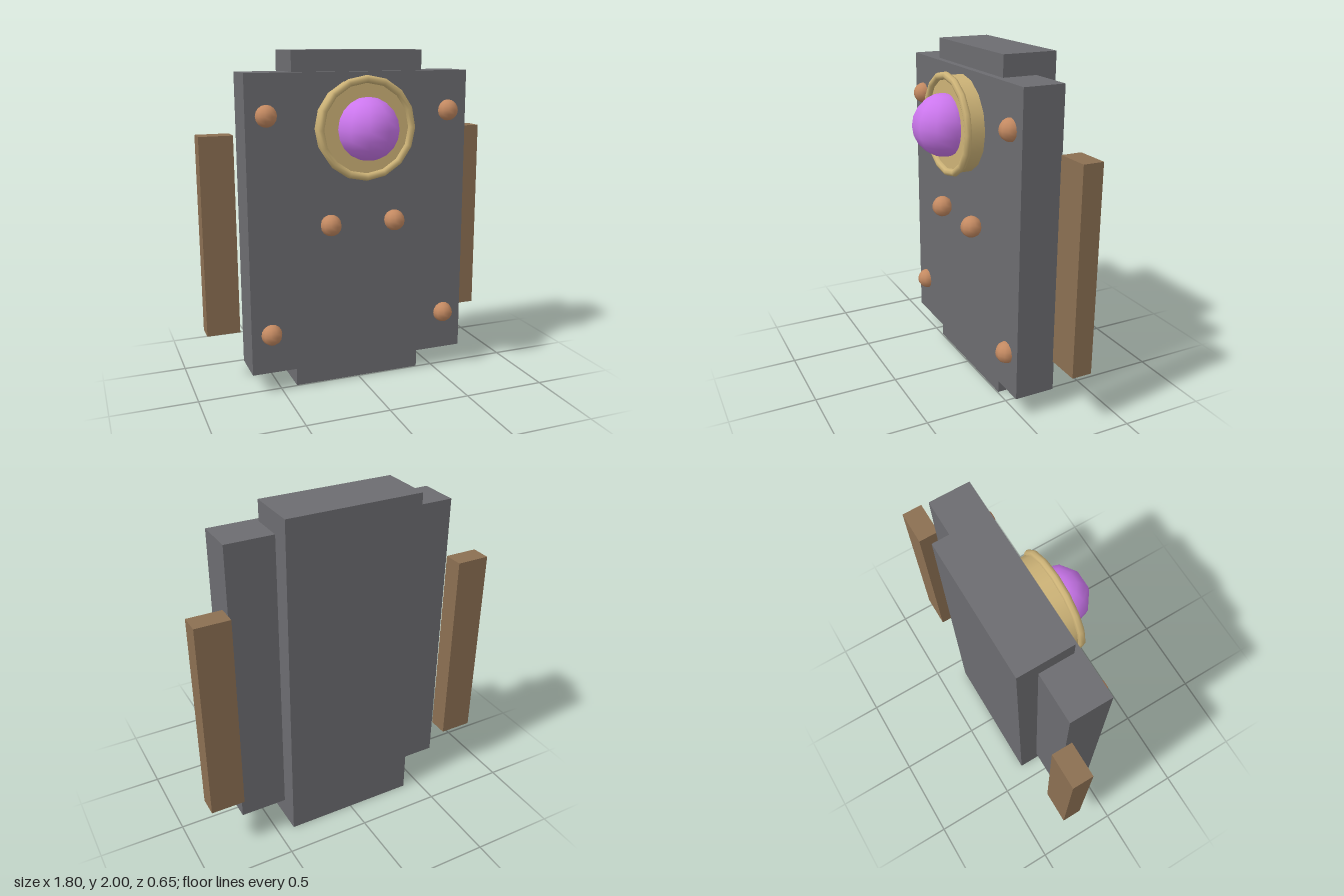
import * as THREE from 'three';

const mat = (color) => new THREE.MeshStandardMaterial({ color });

export function createModel() {
  const model = new THREE.Group();
  const stone = mat(0x6c6c70);
  const wood = mat(0x8b6f52);
  const brass = mat(0xcdb377);
  const copper = mat(0xc48a62);
  const violet = mat(0xcc77ee);

  const add = (name, geometry, material, x, y, z) => {
    const mesh = new THREE.Mesh(geometry, material);
    mesh.name = name;
    mesh.position.set(x, y, z);
    model.add(mesh);
    return mesh;
  };

  // Body: tall rear core and wide front plate
  add('core', new THREE.BoxGeometry(0.8, 2, 0.32), stone, 0, 1, -0.165);
  add('frontPlate', new THREE.BoxGeometry(1.36, 1.755, 0.24), stone, 0, 1.0025, -0.086);

  // Wooden side bars, standing just clear of the plate
  for (const side of [-1, 1]) {
    add(side > 0 ? 'leftBar' : 'rightBar', new THREE.BoxGeometry(0.2, 1.2, 0.12), wood, side * 0.8, 0.92, -0.246);
  }

  // Round brass housing with a rolled rim and a gem
  const eyeY = 1.565;
  const housing = add('gemHousing', new THREE.CylinderGeometry(0.28, 0.28, 0.12, 16), brass, 0, eyeY, 0.066);
  housing.rotation.x = Math.PI / 2;
  add('gemRim', new THREE.TorusGeometry(0.278, 0.022, 8, 16), brass, 0, eyeY, 0.135);
  add('gem', new THREE.SphereGeometry(0.18, 10, 10), violet, 0, eyeY, 0.154);

  // Copper studs: four half sunk in the corners, two proud in the middle
  const stud = new THREE.SphereGeometry(0.063, 10, 8);
  for (const side of [-1, 1]) {
    add('upperStud', stud, copper, side * 0.56, 1.645, 0.036);
    add('lowerStud', stud, copper, side * 0.56, 0.365, 0.036);
    add('middleStud', stud, copper, side * 0.2, 1.005, 0.078);
  }

  return model;
}
